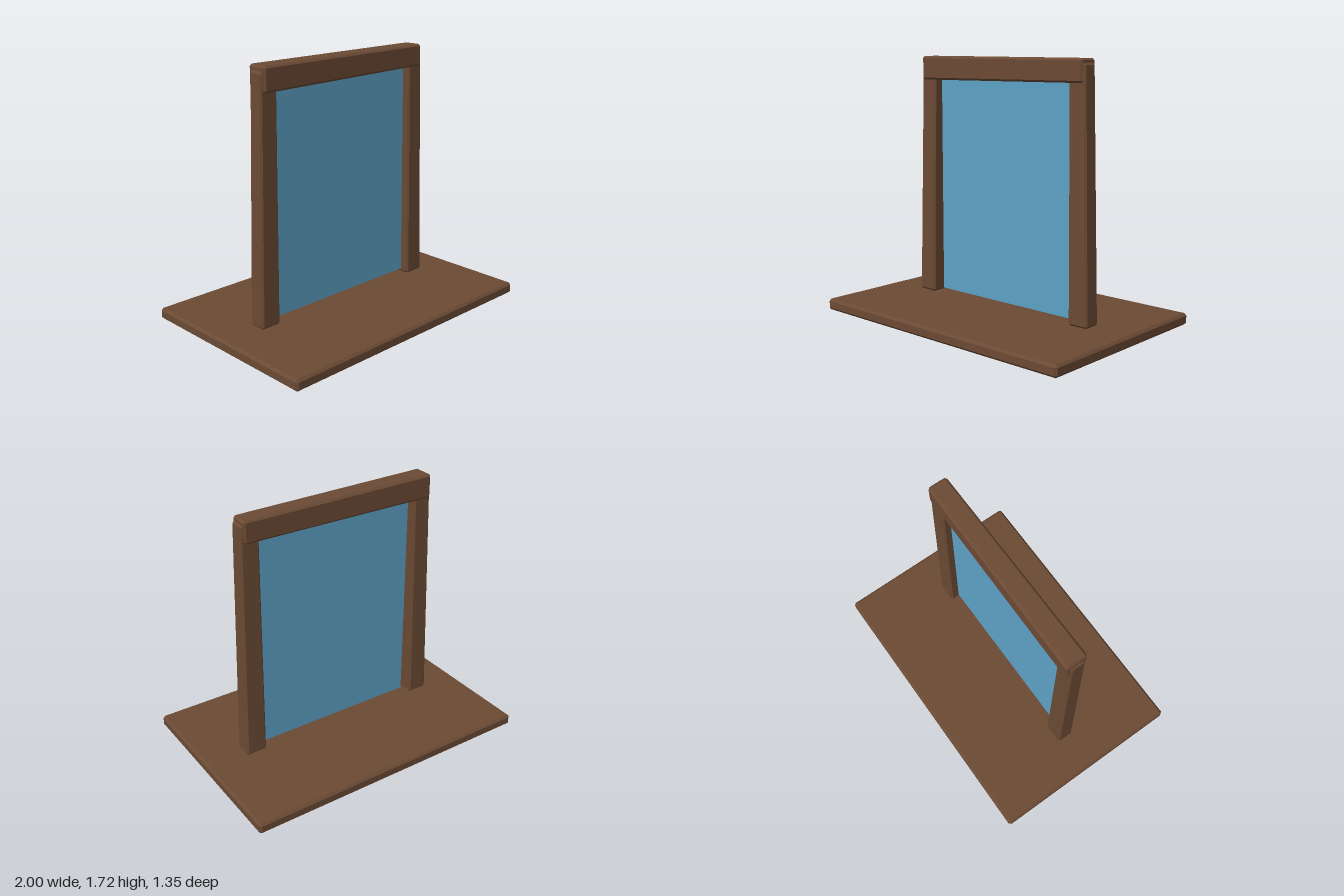
import * as THREE from 'three';
import { ConvexGeometry } from 'three/addons/geometries/ConvexGeometry.js';

// Box with chamfered edges; an optional warp moves its points (taper, lean)
function chamferedBox(w, h, d, c, warp = () => {}) {
  const points = [];
  for (const sx of [-1, 1]) for (const sy of [-1, 1]) for (const sz of [-1, 1]) {
    for (let full = 0; full < 3; full++) {
      const p = new THREE.Vector3(
        sx * (w / 2 - (full === 0 ? 0 : c)),
        sy * (h / 2 - (full === 1 ? 0 : c)),
        sz * (d / 2 - (full === 2 ? 0 : c)));
      warp(p);
      points.push(p);
    }
  }
  return new ConvexGeometry(points);
}

export function createModel() {
  const group = new THREE.Group();
  const wood = new THREE.MeshStandardMaterial({ name: 'brown wood', color: 0x6b4a34 });
  const blue = new THREE.MeshStandardMaterial({ name: 'blue panel', color: 0x5da2c6, side: THREE.DoubleSide });

  const add = (name, geometry, material, x, y, z) => {
    const mesh = new THREE.Mesh(geometry, material);
    mesh.name = name;
    mesh.position.set(x, y, z);
    group.add(mesh);
    return mesh;
  };

  // Floor board
  add('base', chamferedBox(2, 0.076, 1.35, 0.015), wood, 0, 0.038, 0);

  // Posts: narrower at the top and leaning inwards
  const postHeight = 1.605;
  for (const side of [-1, 1]) {
    const post = chamferedBox(0.145, postHeight, 0.122, 0.013, (p) => {
      const t = p.y / postHeight + 0.5;
      p.x = p.x * (1 - 0.15 * t) - side * 0.031 * t;
      p.z *= 1 - 0.17 * t;
    });
    add(side < 0 ? 'rightPost' : 'leftPost', post, wood, side * 0.665, 0.078 + postHeight / 2, 0);
  }

  // Lintel: slightly slimmer towards +x
  const lintel = chamferedBox(1.365, 0.153, 0.138, 0.013, (p) => {
    const k = 1 - 0.07 * p.x;
    p.y *= k;
    p.z *= k;
  });
  add('lintel', lintel, wood, -0.001, 1.637, -0.003);

  // Thin sheets filling the doorway
  add('frontPanel', new THREE.PlaneGeometry(1.2, 1.5), blue, 0.04, 0.85, 0);
  add('backPanel', new THREE.PlaneGeometry(0.99, 1.46), blue, 0.053, 0.86, -0.004);

  return group;
}
